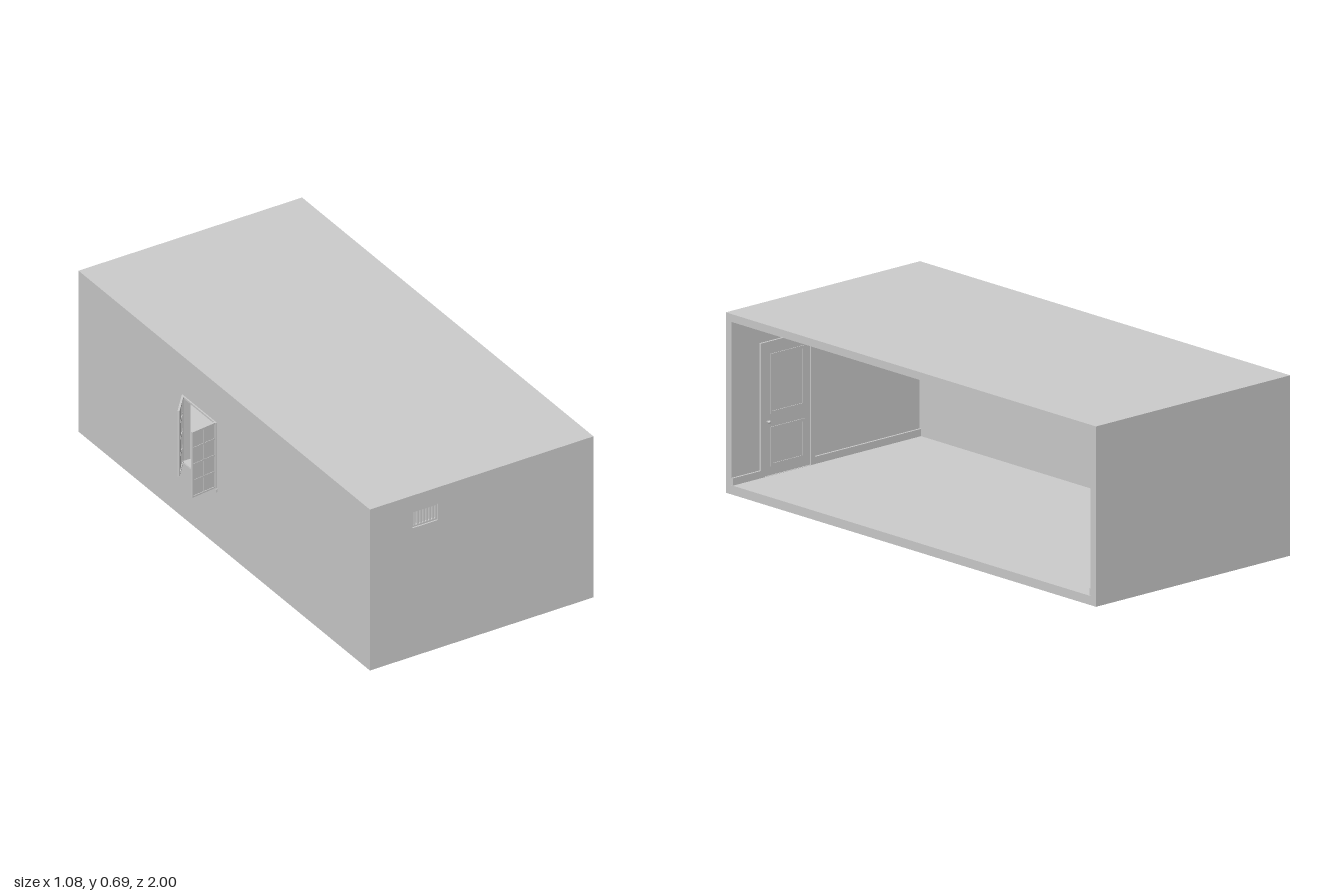
import * as THREE from 'three';

const grey = new THREE.MeshStandardMaterial({ color: 0xcccccc, flatShading: true });

// Box given by its min and max corners
function box(parent, name, [x0, y0, z0], [x1, y1, z1]) {
  const mesh = new THREE.Mesh(new THREE.BoxGeometry(x1 - x0, y1 - y0, z1 - z0), grey);
  mesh.position.set((x0 + x1) / 2, (y0 + y1) / 2, (z0 + z1) / 2);
  mesh.name = name;
  parent.add(mesh);
  return mesh;
}

function group(parent, name) {
  const g = new THREE.Group();
  g.name = name;
  parent.add(g);
  return g;
}

// Flat slab with an optional rectangular hole; rectangles are [u0, v0, u1, v1]
function slab(parent, name, r, hole, depth) {
  const corners = ([a, b, c, d]) => [[a, b], [c, b], [c, d], [a, d]].map(p => new THREE.Vector2(...p));
  const shape = new THREE.Shape(corners(r));
  if (hole) shape.holes.push(new THREE.Path(corners(hole).reverse()));
  const mesh = new THREE.Mesh(new THREE.ExtrudeGeometry(shape, { depth, bevelEnabled: false }), grey);
  mesh.name = name;
  parent.add(mesh);
  return mesh;
}

// Glazed casement, hinged at its local origin and extending along +x
function casement(parent, name, z, angle) {
  const g = group(parent, name);
  const w = 0.112, y0 = 0.245, y1 = 0.525, t = 0.004, b = 0.006;
  slab(g, 'casementFrame', [0, y0, w, y1], [b, y0 + b, w - b, y1 - b], 2 * t).position.z = -t;
  box(g, 'glass', [b, y0 + b, -0.001], [w - b, y1 - b, 0.001]);
  box(g, 'mullion', [w / 2 - 0.003, y0 + b, -0.003], [w / 2 + 0.003, y1 - b, 0.003]);
  for (let i = 1; i < 4; i++) {
    const y = y0 + (y1 - y0) * i / 4;
    box(g, 'glazingBar', [b, y - 0.003, -0.0028], [w - b, y + 0.003, 0.0028]);
  }
  g.position.set(-0.433, 0, z);
  g.rotation.y = angle;
}

export function createModel() {
  const model = new THREE.Group();
  model.name = 'room';
  const X0 = -0.43, X1 = 0.54, H = 0.69, T = 0.03, F = 0.035;

  // Shell, open on the +x side
  const shell = group(model, 'shell');
  box(shell, 'floor', [X0, 0, -1], [X1, F, 1]);
  box(shell, 'ceiling', [X0, H - T, -1], [X1, H, 1]);
  box(shell, 'backWall', [X0, F, -1], [X1, H - T, -1 + T]);

  const vent = [-0.245, 0.55, -0.135, 0.62];
  slab(shell, 'frontWall', [X0, F, X1, H - T], vent, T).position.z = 1 - T;

  const opening = [-0.285, 0.235, -0.05, 0.525];
  const sideWall = slab(shell, 'windowWall', [-1 + T, F, 1 - T, H - T], opening, T);
  sideWall.rotation.y = -Math.PI / 2;
  sideWall.position.x = X0 + T;

  // Ventilation grille set into the front wall
  const grille = group(model, 'ventGrille');
  slab(grille, 'grilleFrame', vent, [-0.238, 0.557, -0.142, 0.613], 0.012).position.z = 0.982;
  box(grille, 'grilleBack', [vent[0], vent[1], 0.97], [vent[2], vent[3], 0.976]);
  for (let i = 0; i < 7; i++) {
    const x = -0.23 + i * 0.0133;
    box(grille, 'slat', [x - 0.003, 0.555, 0.976], [x + 0.003, 0.615, 0.993]);
  }

  // Window frame, sill and the two open casements
  const windowGroup = group(model, 'window');
  const frame = slab(windowGroup, 'windowFrame', opening, [-0.277, 0.245, -0.058, 0.518], T + 0.006);
  frame.rotation.y = -Math.PI / 2;
  frame.position.x = X0 + T;
  box(windowGroup, 'sill', [-0.438, 0.23, -0.29], [-0.39, 0.243, -0.045]);
  casement(windowGroup, 'frontCasement', -0.057, Math.PI + 0.13);
  casement(windowGroup, 'backCasement', -0.28, Math.PI + 0.87);

  // Door on the inside of the front wall
  const door = group(model, 'door');
  const zi = 1 - T;
  slab(door, 'doorCasing', [0.13, F, 0.40, 0.55], [0.15, F + 0.001, 0.38, 0.53], 0.008).position.z = zi - 0.008;
  box(door, 'doorLeaf', [0.15, F, zi - 0.003], [0.38, 0.53, zi]);
  for (const [y0, y1] of [[0.07, 0.22], [0.27, 0.50]]) {
    slab(door, 'panelMoulding', [0.18, y0, 0.35, y1], [0.19, y0 + 0.01, 0.34, y1 - 0.01], 0.004).position.z = zi - 0.006;
  }
  const knob = new THREE.Mesh(new THREE.SphereGeometry(0.006, 12, 8), grey);
  knob.name = 'doorKnob';
  knob.position.set(0.365, 0.245, zi - 0.016);
  door.add(knob);
  box(door, 'knobStem', [0.363, 0.243, zi - 0.014], [0.367, 0.247, zi - 0.002]);

  // Baseboards on the end walls, interrupted by the door
  const boards = group(model, 'baseboards');
  box(boards, 'backBaseboard', [X0 + T, F, -zi], [X1 - 0.002, F + 0.028, -zi + 0.008]);
  for (const [a, b] of [[X0 + T, 0.13], [0.40, X1 - 0.002]]) {
    box(boards, 'frontBaseboard', [a, F, zi - 0.008], [b, F + 0.028, zi]);
  }
  return model;
}
